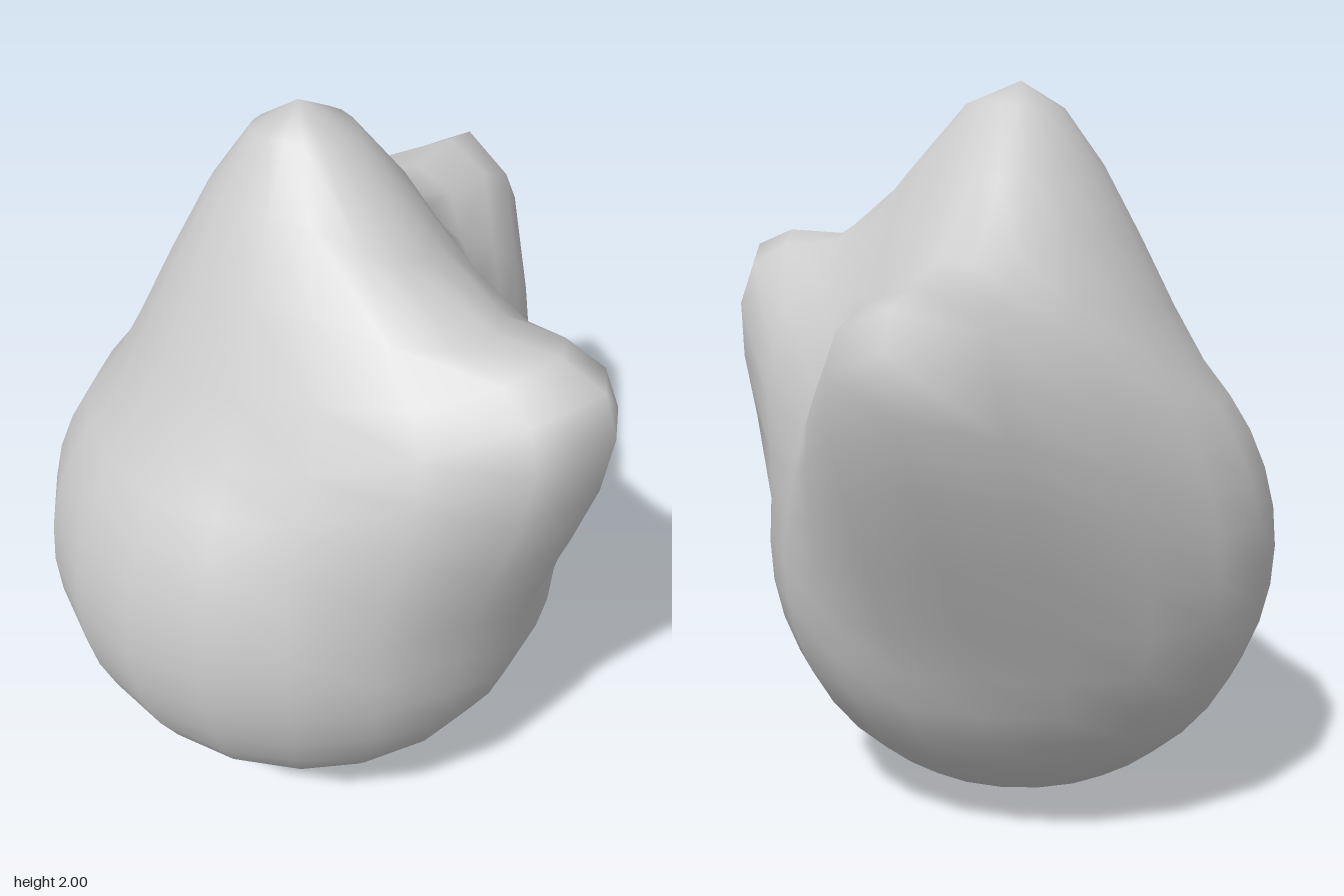
import * as THREE from 'three';
import { mergeVertices } from 'three/addons/utils/BufferGeometryUtils.js';

const R = 0.72;

// Soft pull: moves points near a centre along one vector, fading smoothly to zero at the reach
function pull(geometry, centre, move, reach) {
  const pos = geometry.attributes.position;
  const p = new THREE.Vector3();
  for (let i = 0; i < pos.count; i++) {
    p.fromBufferAttribute(pos, i);
    const weight = 1 - THREE.MathUtils.smoothstep(p.distanceTo(centre), 0, reach);
    p.addScaledVector(move, weight);
    pos.setXYZ(i, p.x, p.y, p.z);
  }
}

export function createModel() {
  const group = new THREE.Group();
  group.name = 'sculptedBlob';

  // Round ball, welded so the shading has no seam
  let geometry = new THREE.SphereGeometry(R, 20, 20);
  geometry.deleteAttribute('uv');
  geometry.deleteAttribute('normal');
  geometry = mergeVertices(geometry, 1e-4);

  // Three pulled peaks: side, back, top
  const v = (x, y, z) => new THREE.Vector3(x, y, z);
  pull(geometry, v(0.707, 0.707, 0).multiplyScalar(R), v(0.4, 0.3, 0), 0.61);
  pull(geometry, v(-0.265, 0.515, -0.815).multiplyScalar(R), v(-0.01, 0.33, -0.48), 0.66);
  pull(geometry, v(0.01, 0.73, 0), v(0, 0.55, 0), 0.61);

  geometry.translate(-0.11, R, 0.18);
  geometry.computeVertexNormals();

  const body = new THREE.Mesh(geometry, new THREE.MeshStandardMaterial({ color: 0xcccccc }));
  body.name = 'body';
  group.add(body);
  return group;
}
